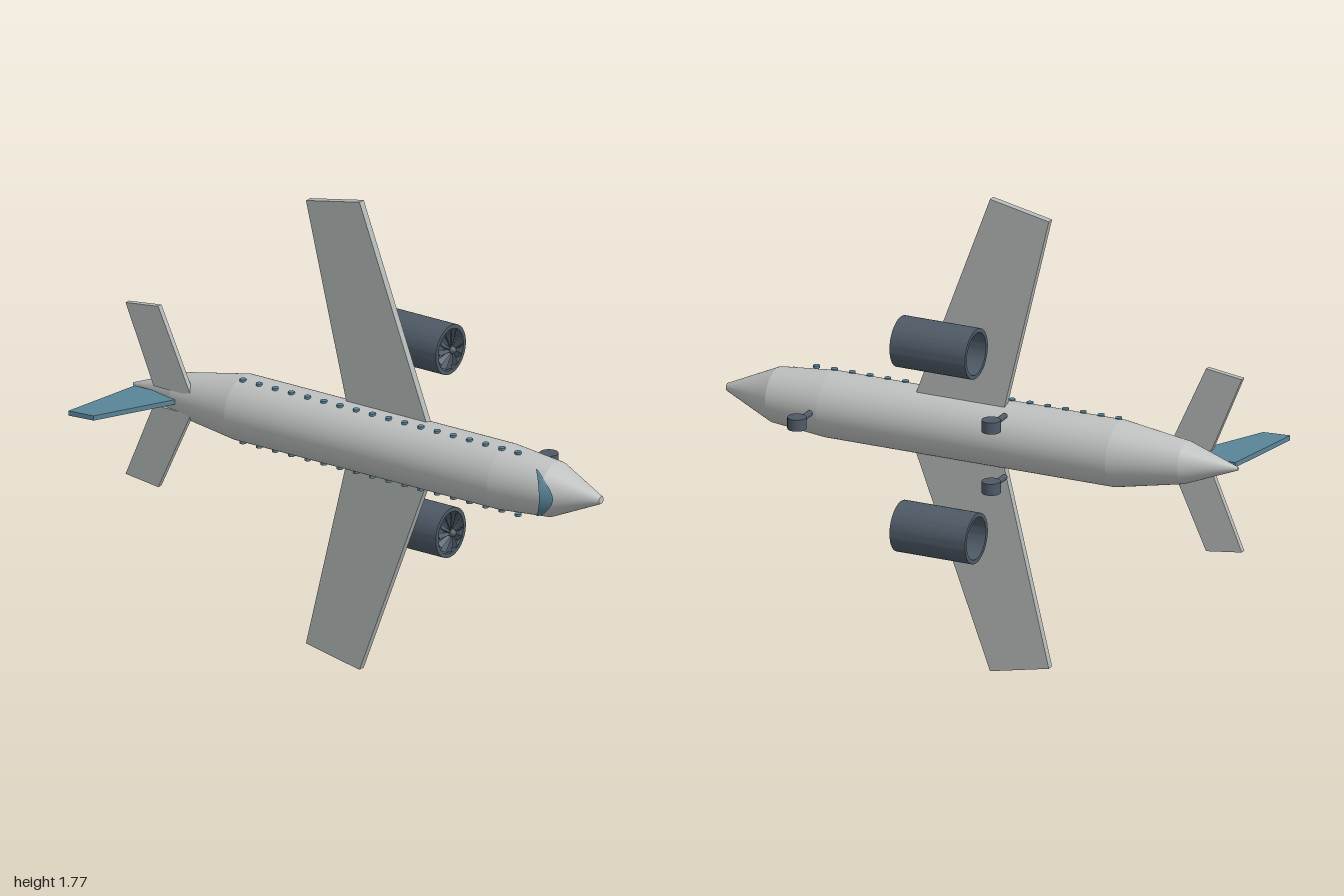
import * as THREE from 'three';
import { toCreasedNormals } from 'three/addons/utils/BufferGeometryUtils.js';

const material = (name, color, side = THREE.FrontSide) => {
  const m = new THREE.MeshStandardMaterial({ color, side });
  m.name = name;
  return m;
};

export function createModel() {
  const lightGrey = material('light grey', 0xbec1bf);
  const wingGrey = material('wing grey', 0xb4b9b7);
  const slate = material('slate', 0x4e5a66);
  const teal = material('teal', 0x5a8499, THREE.DoubleSide);

  const plane = new THREE.Group();
  plane.name = 'airliner';
  plane.position.y = 0.892; // body axis height; the aircraft's own up is +z

  const add = (name, geometry, mat, parent = plane) => {
    const mesh = new THREE.Mesh(geometry, mat);
    mesh.name = name;
    parent.add(mesh);
    return mesh;
  };

  // Fuselage: tapered tubes joined at stations [x, centre z, radius]
  const stations = [
    [-0.97, -0.03, 0.006], [-0.78, -0.053, 0.077], [-0.53, -0.075, 0.12],
    [0.6, -0.075, 0.12], [0.81, -0.075, 0.1], [1, -0.084, 0.014],
  ];
  const sectionNames = ['tailCone', 'rearFuselage', 'cabin', 'frontFuselage', 'noseCone'];
  sectionNames.forEach((name, i) => {
    const [x0, z0, r0] = stations[i];
    const [x1, z1, r1] = stations[i + 1];
    const isEnd = i === 0 || i === sectionNames.length - 1;
    const g = new THREE.CylinderGeometry(r1, r0, x1 - x0, 64, 1, !isEnd);
    g.rotateZ(-Math.PI / 2).translate((x0 + x1) / 2, 0, 0);
    const p = g.attributes.position;
    for (let k = 0; k < p.count; k++) {
      const t = (p.getX(k) - x0) / (x1 - x0);
      p.setZ(k, p.getZ(k) + z0 + (z1 - z0) * t);
    }
    add(name, g, lightGrey);
  });

  // Flat plates for the wings, tailplanes and fin
  const plate = (points, depth) => new THREE.ExtrudeGeometry(
    new THREE.Shape(points.map(([x, y]) => new THREE.Vector2(x, y))),
    { depth, bevelEnabled: false });
  const wingOutline = [[-0.095, 0.11], [0.25, 0.11], [-0.04, 0.887], [-0.27, 0.84]];
  const tailOutline = [[-0.85, 0.036], [-0.69, 0.036], [-0.83, 0.343], [-0.97, 0.325]];

  // Engine nacelle: a hollow tube along x
  const nacelle = toCreasedNormals(new THREE.LatheGeometry(
    [[0.092, -0.045], [0.092, 0.25], [0.077, 0.25], [0.077, -0.045], [0.092, -0.045]]
      .map(([r, y]) => new THREE.Vector2(r, y)), 64), 0.5).rotateZ(-Math.PI / 2);

  for (const side of [1, -1]) {
    const label = side > 0 ? 'left' : 'right';
    const mirror = (points) => points.map(([x, y]) => [x, y * side]);
    add(label + 'Wing', plate(mirror(wingOutline), 0.026).translate(0, 0, -0.112), wingGrey);
    add(label + 'Tailplane', plate(mirror(tailOutline), 0.02), wingGrey);

    const engine = new THREE.Group();
    engine.name = label + 'Engine';
    engine.position.set(0, 0.347 * side, -0.232);
    plane.add(engine);
    add('nacelle', nacelle, slate, engine);
    add('fanHub', new THREE.SphereGeometry(0.016, 20, 12).scale(1.6, 1, 1).translate(0.246, 0, 0),
      slate, engine);
    // Twelve angled fan blades, wider towards the tip
    for (let i = 0; i < 12; i++) {
      const blade = new THREE.BoxGeometry(0.004, 0.06, 0.024);
      const p = blade.attributes.position;
      for (let k = 0; k < p.count; k++) {
        const outer = p.getY(k) > 0;
        p.setZ(k, p.getZ(k) * (outer ? 1 : 0.4) + (outer ? -0.01 : 0));
      }
      blade.rotateY(0.7).translate(0.252, 0.042, 0).rotateX((i * Math.PI) / 6);
      blade.computeVertexNormals();
      add('fanBlade', blade, slate, engine);
    }

    // Cabin windows along each side
    const pane = new THREE.CylinderGeometry(0.012, 0.012, 0.009, 16);
    for (let i = 0; i < 18; i++) {
      add(label + 'CabinWindow', pane, teal).position.set(-0.51 + i * 0.0695, 0.1175 * side, -0.043);
    }
  }

  // Vertical fin, standing along +z
  const fin = plate([[-0.945, 0], [-0.74, 0], [-0.9, 0.315], [-1, 0.327]], 0.018);
  add('tailFin', fin.rotateX(Math.PI / 2).translate(0, 0.009, 0), teal);

  // Cockpit window: a crescent following the nose surface
  const radiusAt = (x) => (x > 0.81 ? 0.1 - (x - 0.81) * 0.453 : 0.1 + (0.81 - x) * 0.095);
  const columns = 32, rows = 6, positions = [], indices = [];
  for (let i = 0; i <= columns; i++) {
    const t = (i / columns) * 2 - 1;
    const a = t * 0.95;
    const front = 0.857 - 0.08 * t * t;
    const back = 0.812 - 0.042 * t * t;
    for (let j = 0; j <= rows; j++) {
      const x = back + ((front - back) * j) / rows;
      const r = radiusAt(x) + 0.005;
      positions.push(x, Math.sin(a) * r, -0.075 + Math.cos(a) * r);
      if (i < columns && j < rows) {
        const n = i * (rows + 1) + j, m = n + rows + 1;
        indices.push(n, n + 1, m, m, n + 1, m + 1);
      }
    }
  }
  const cockpit = new THREE.BufferGeometry();
  cockpit.setAttribute('position', new THREE.Float32BufferAttribute(positions, 3));
  cockpit.setIndex(indices);
  cockpit.computeVertexNormals();
  add('cockpitWindow', cockpit, teal);

  // Landing gear: a strut and a wheel each
  for (const [name, x, y] of [['noseGear', 0.625, 0], ['leftGear', -0.135, 0.115], ['rightGear', -0.135, -0.115]]) {
    const gear = new THREE.Group();
    gear.name = name;
    gear.position.set(x, y, 0);
    plane.add(gear);
    add('strut', new THREE.CylinderGeometry(0.011, 0.011, 0.1, 16).rotateX(Math.PI / 2).translate(0, 0, -0.238),
      slate, gear);
    add('wheel', new THREE.CylinderGeometry(0.034, 0.034, 0.043, 32).translate(0, 0, -0.297), slate, gear);
  }

  const model = new THREE.Group();
  model.name = 'model';
  model.add(plane);
  return model;
}
